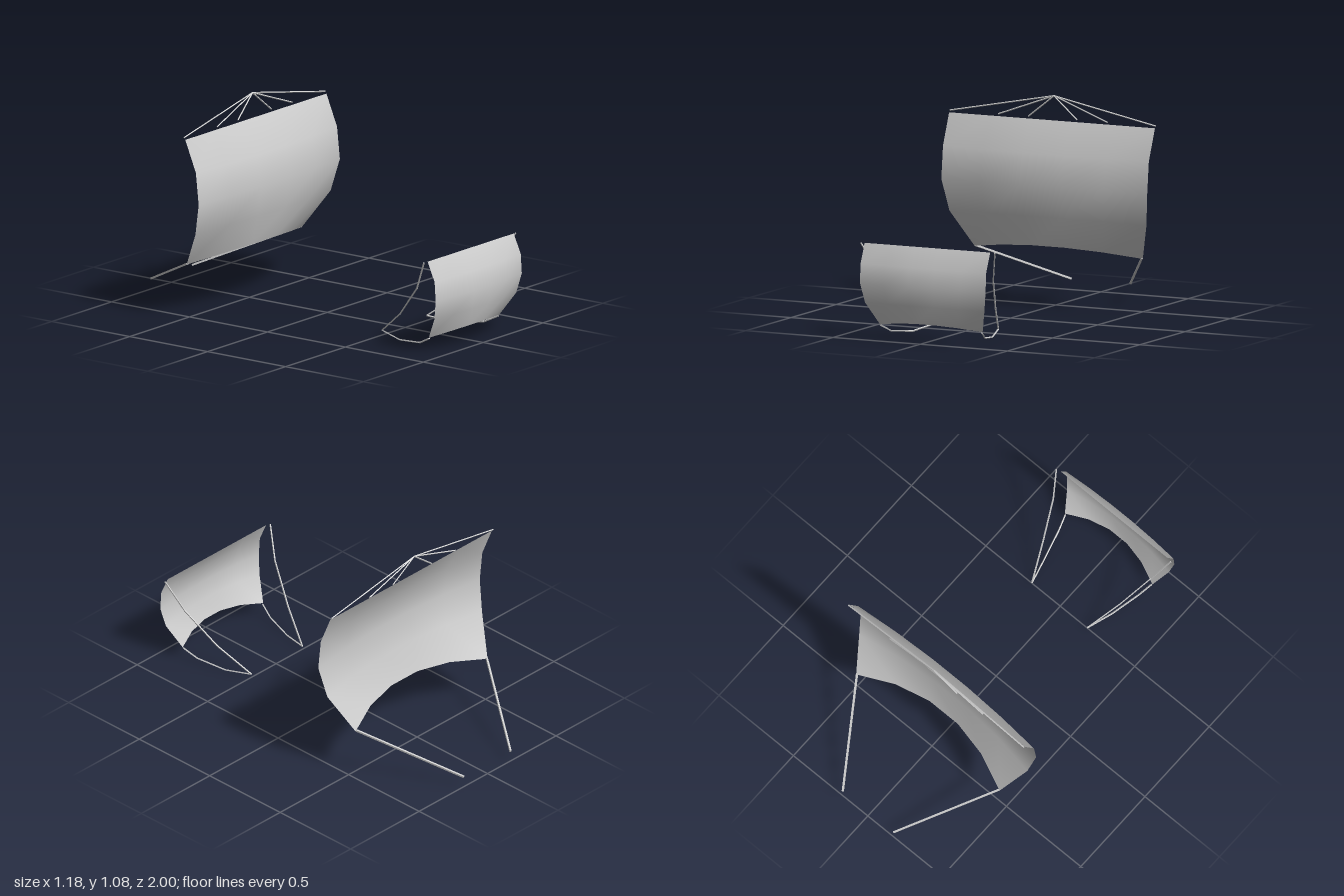
import * as THREE from 'three';

const sailMaterial = new THREE.MeshStandardMaterial({ color: 0xcccccc, side: THREE.DoubleSide });
const ropeMaterial = new THREE.MeshStandardMaterial({ color: 0xcccccc, flatShading: true });

// Billowed sail; each row from head to foot: [half width, middle y, middle z, edge y, edge z]
function makeSail(name, rows) {
  const columns = 5;
  const geometry = new THREE.PlaneGeometry(2, 1, columns, rows.length - 1);
  const pos = geometry.attributes.position;
  for (let i = 0; i < pos.count; i++) {
    const [half, yMid, zMid, yEdge, zEdge] = rows[Math.floor(i / (columns + 1))];
    const u = pos.getX(i);
    const w = Math.max(0, (u * u - 0.04) / 0.96);
    pos.setXYZ(i, u * half, THREE.MathUtils.lerp(yMid, yEdge, w), THREE.MathUtils.lerp(zMid, zEdge, w));
  }
  geometry.computeVertexNormals();
  const mesh = new THREE.Mesh(geometry, sailMaterial);
  mesh.name = name;
  return mesh;
}

// Rope of straight four-sided lengths through the given points
function makeRope(name, points, radius) {
  const group = new THREE.Group();
  group.name = name;
  const up = new THREE.Vector3(0, 1, 0);
  for (let i = 1; i < points.length; i++) {
    const a = new THREE.Vector3(...points[i - 1]);
    const b = new THREE.Vector3(...points[i]);
    const span = b.clone().sub(a);
    const mesh = new THREE.Mesh(new THREE.CylinderGeometry(radius, radius, span.length(), 4), ropeMaterial);
    mesh.position.copy(a).add(b).multiplyScalar(0.5);
    mesh.quaternion.setFromUnitVectors(up, span.normalize());
    mesh.name = name + 'Length';
    group.add(mesh);
  }
  return group;
}

export function createModel() {
  const model = new THREE.Group();
  model.name = 'sailsAndRigging';

  model.add(makeSail('mainSail', [
    [0.59, 0.96, -0.458, 0.96, -0.458],
    [0.59, 0.797, -0.36, 0.797, -0.39],
    [0.59, 0.636, -0.333, 0.63, -0.372],
    [0.565, 0.475, -0.358, 0.463, -0.412],
    [0.482, 0.317, -0.41, 0.27, -0.532],
  ]));
  model.add(makeSail('foreSail', [
    [0.36, 0.49, 0.92, 0.49, 0.92],
    [0.36, 0.39, 0.98, 0.39, 0.965],
    [0.36, 0.29, 0.997, 0.29, 0.972],
    [0.342, 0.193, 0.984, 0.188, 0.95],
    [0.294, 0.098, 0.952, 0.069, 0.877],
  ]));

  for (const [side, s] of [['left', 1], ['right', -1]]) {
    const mirror = (points) => points.map(([x, y, z]) => [s * x, y, z]);

    // Lifts fanning from the masthead to the head of the main sail
    for (const x of [0.59, 0.313, 0.14]) {
      model.add(makeRope(side + 'Lift', mirror([[0, 1.083, -0.48], [x, 0.97, -0.466]]), 0.004));
    }

    // Sheet running aft from the lower corner of the main sail
    model.add(makeRope(side + 'MainSheet', mirror([[0.478, 0.275, -0.53], [0.17, 0.06, -0.998]]), 0.007));

    // Slack line from the head of the fore sail, aft and back to its foot
    model.add(makeRope(side + 'ForeLine', mirror([
      [0.384, 0.488, 0.915], [0.33, 0.33, 0.829], [0.26, 0.157, 0.668], [0.186, 0.027, 0.495],
      [0.227, 0.008, 0.64], [0.268, 0.027, 0.8], [0.29, 0.065, 0.877],
    ]), 0.0045));
  }
  return model;
}
